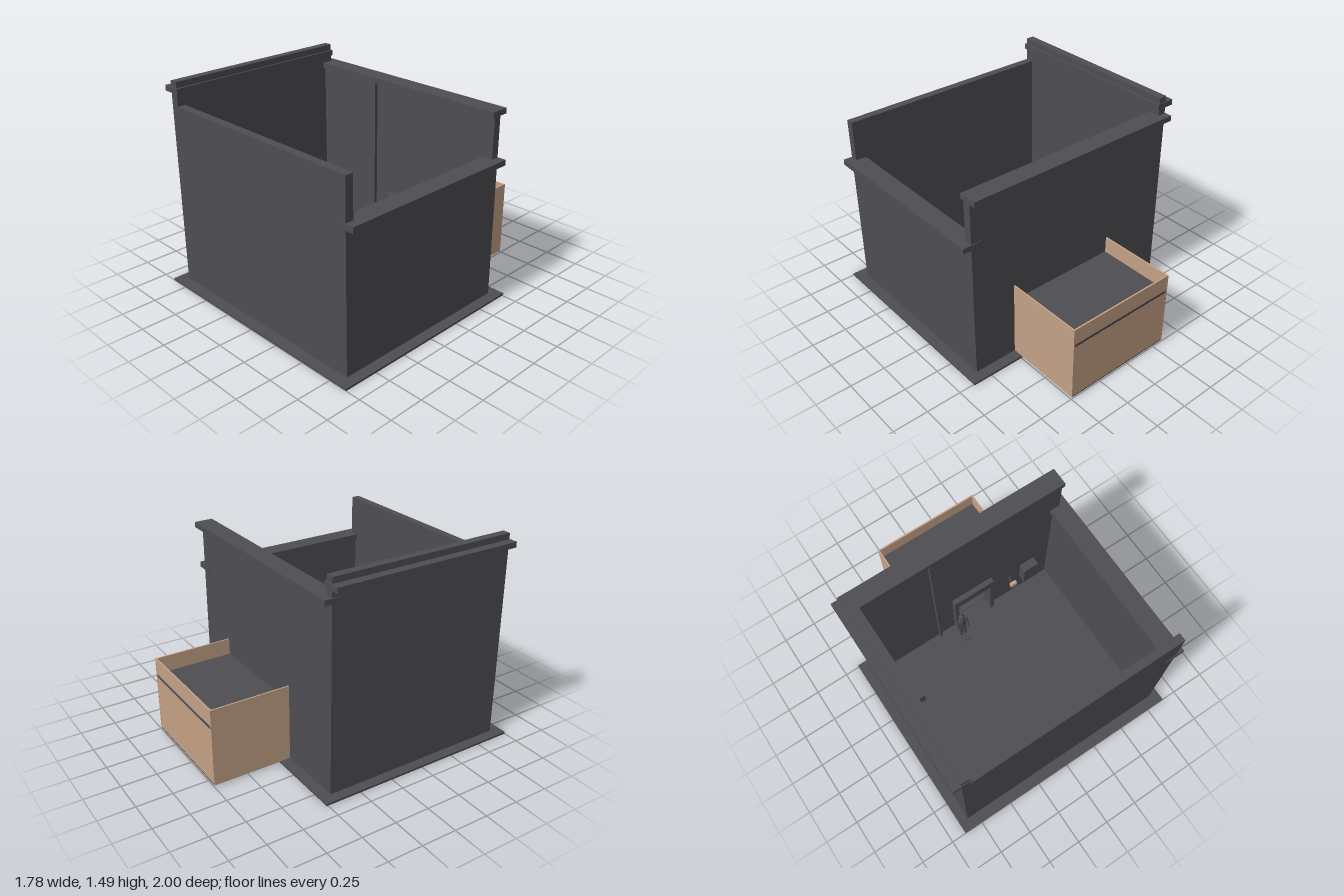
import * as THREE from 'three';

export function createModel() {
  const root = new THREE.Group();
  root.name = 'roofTopRoom';
  const grey = new THREE.MeshStandardMaterial({ color: 0x4e4e53 });
  grey.name = 'darkGrey';
  const tan = new THREE.MeshStandardMaterial({ color: 0xc4a186 });
  tan.name = 'warmTan';

  function add(name, geometry, material = grey, parent = root) {
    const mesh = new THREE.Mesh(geometry, material);
    mesh.name = name;
    parent.add(mesh);
    return mesh;
  }
  // Box given by its limits on each axis
  function block(name, [x0, x1], [y0, y1], [z0, z1], material = grey, parent = root) {
    const mesh = add(name, new THREE.BoxGeometry(x1 - x0, y1 - y0, z1 - z0), material, parent);
    mesh.position.set((x0 + x1) / 2, (y0 + y1) / 2, (z0 + z1) / 2);
    return mesh;
  }
  const floor = 0.015;

  // Base slab
  block('baseSlab', [-0.89, 0.89], [0, floor], [-0.51, 1]);

  // Side walls with their projecting copings
  block('tallSideWall', [-0.82, -0.762], [floor, 1.485], [-0.435, 0.922]);
  block('tallWallCoping', [-0.88, -0.747], [1.404, 1.443], [-0.44, 0.928]);
  block('lowSideWall', [0.76, 0.815], [floor, 0.993], [-0.435, 0.922]);
  block('lowWallCoping', [0.74, 0.877], [0.993, 1.032], [-0.44, 0.928]);

  // Front wall
  block('frontWall', [-0.815, 0.815], [floor, 1.318], [0.864, 0.922]);

  // Back wall with a doorway into the porch
  const doorway = new THREE.Shape();
  doorway.moveTo(-0.815, floor);
  for (const [x, y] of [[-0.06, floor], [-0.06, 0.425], [0.22, 0.425], [0.22, floor],
    [0.815, floor], [0.815, 1.32], [-0.815, 1.32]]) doorway.lineTo(x, y);
  doorway.closePath();
  const backWall = add('backWall', new THREE.ExtrudeGeometry(doorway, { depth: 0.057, bevelEnabled: false }));
  backWall.position.z = -0.435;
  block('backWallCoping', [-0.825, 0.82], [1.32, 1.358], [-0.49, -0.357]);

  // Door frame
  for (const x of [-0.09, 0.22]) {
    block('doorPost', [x, x + 0.03], [floor, 0.425], [-0.378, -0.34]);
  }
  block('doorHeader', [-0.09, 0.25], [0.425, 0.51], [-0.378, -0.34]);

  // Porch: floor, sunken roof, side panels and split rear panel
  const porch = new THREE.Group();
  porch.name = 'porch';
  root.add(porch);
  block('porchFloor', [-0.33, 0.49], [0.01, 0.02], [-0.998, -0.435], grey, porch);
  block('porchRoof', [-0.325, 0.485], [0.425, 0.447], [-0.998, -0.435], grey, porch);
  for (const x of [-0.335, 0.485]) {
    block('porchSide', [x, x + 0.01], [0.012, 0.565], [-1, -0.435], tan, porch);
  }
  block('porchRearLower', [-0.325, 0.485], [0.02, 0.425], [-0.999, -0.988], tan, porch);
  block('porchRearUpper', [-0.325, 0.485], [0.447, 0.565], [-0.999, -0.988], tan, porch);

  // Conduit and equipment inside
  block('conduit', [-0.235, -0.215], [floor, 1.32], [-0.378, -0.354]);
  block('wallCabinet', [0.51, 0.632], [0.2, 0.4], [-0.378, -0.314]);
  block('floorBox', [-0.722, -0.6], [floor, 0.14], [-0.115, 0.01]);
  block('bracketArm', [0.405, 0.413], [0.3, 0.308], [-0.378, -0.315]);
  block('bracketBox', [0.384, 0.434], [0.28, 0.325], [-0.325, -0.3], tan);

  // Standing person for scale
  const person = new THREE.Group();
  person.name = 'person';
  person.position.set(-0.075, floor, -0.27);
  root.add(person);
  const head = add('head', new THREE.SphereGeometry(0.024, 12, 8), grey, person);
  head.position.set(0, 0.345, -0.015);
  head.scale.y = 1.25;
  const torso = add('torso', new THREE.CapsuleGeometry(0.032, 0.08, 4, 10), grey, person);
  torso.position.set(0, 0.25, -0.015);
  torso.scale.z = 0.7;
  for (const side of [-1, 1]) {
    const leg = add('leg', new THREE.CylinderGeometry(0.018, 0.012, 0.19, 8), grey, person);
    leg.position.set(side * 0.016, 0.105, -0.01);
    block('foot', [side * 0.016 - 0.01, side * 0.016 + 0.01], [0, 0.018], [-0.02, 0.05], grey, person);
    const arm = add('arm', new THREE.CapsuleGeometry(0.009, 0.12, 3, 8), grey, person);
    arm.position.set(side * 0.039, 0.23, 0);
    arm.rotation.x = -0.25;
  }
  return root;
}
